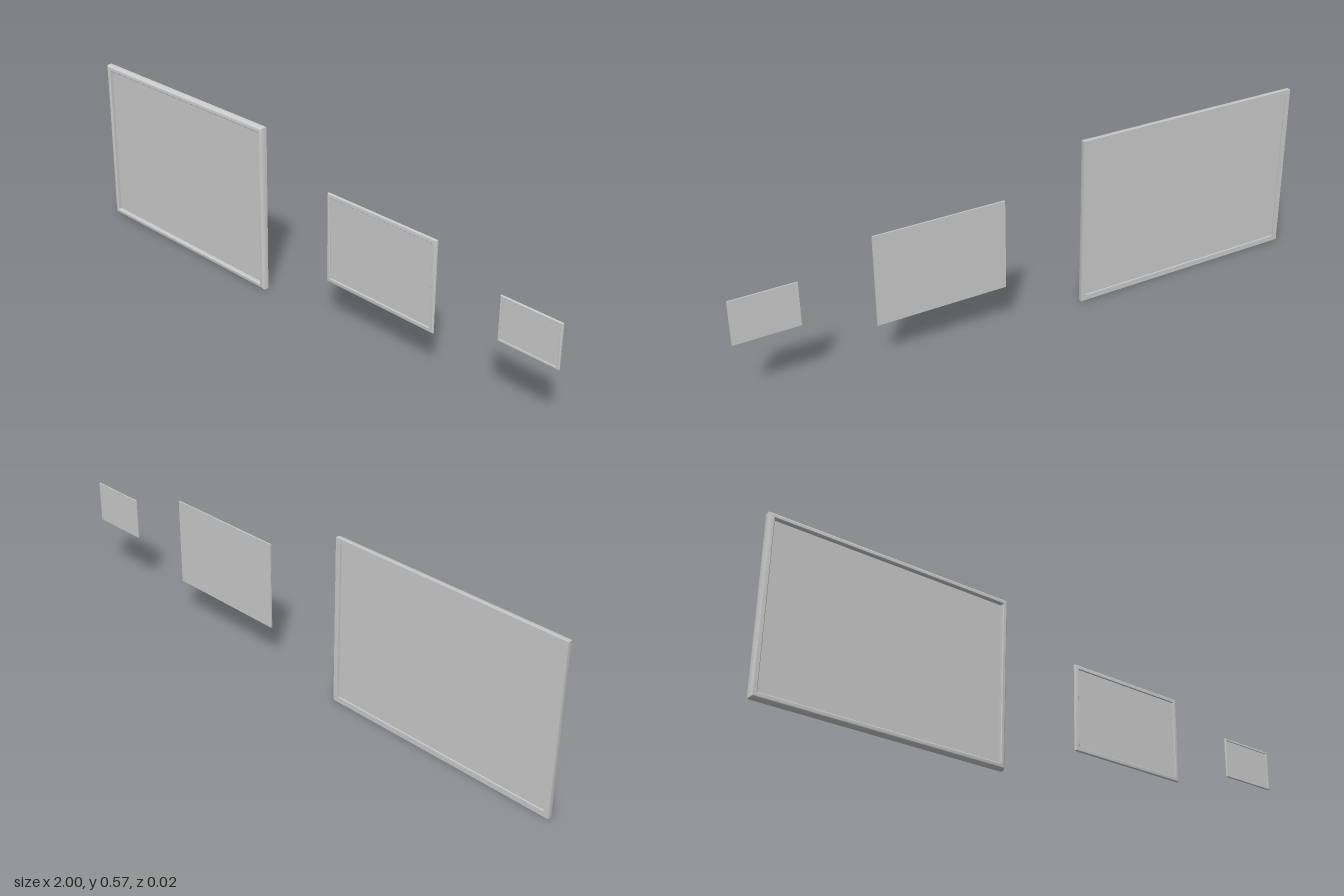
import * as THREE from 'three';
import { toCreasedNormals } from 'three/addons/utils/BufferGeometryUtils.js';

const BACK = -0.0115;
const material = new THREE.MeshStandardMaterial({ color: 0xcccccc });

// Rail cross-section as [inset, z]: square back, rounded outer front edge, small inner bevel
function railProfile(width, front, round) {
  const points = [[0, BACK]];
  const steps = 6;
  for (let i = 0; i <= steps; i++) {
    const a = (i / steps) * Math.PI / 2;
    points.push([round * (1 - Math.cos(a)), front - round * (1 - Math.sin(a))]);
  }
  const bevel = round * 0.25;
  points.push([width - bevel, front], [width, front - bevel], [width, BACK]);
  return points;
}

// Sweep the cross-section around a rectangle with mitred corners
function frameGeometry(w, h, profile) {
  const corners = [[-1, -1], [1, -1], [1, 1], [-1, 1]];
  const n = profile.length;
  const positions = [];
  const index = [];
  for (const [sx, sy] of corners) {
    for (const [d, z] of profile) positions.push(sx * (w / 2 - d), sy * (h / 2 - d), z);
  }
  for (let k = 0; k < 4; k++) {
    for (let j = 0; j < n; j++) {
      const k2 = (k + 1) % 4, j2 = (j + 1) % n;
      const a = k * n + j, b = k2 * n + j, c = k2 * n + j2, d = k * n + j2;
      index.push(a, b, c, a, c, d);
    }
  }
  const geometry = new THREE.BufferGeometry();
  geometry.setAttribute('position', new THREE.Float32BufferAttribute(positions, 3));
  geometry.setIndex(index);
  return toCreasedNormals(geometry, 0.6);
}

// One framed picture: mitred frame plus the panel filling its opening
function framedPicture(name, { x0, x1, y0, y1, front, rail, round, panelBack, panelFront }) {
  const w = x1 - x0, h = y1 - y0;
  const group = new THREE.Group();
  group.name = name;
  group.position.set((x0 + x1) / 2, (y0 + y1) / 2, 0);

  const frame = new THREE.Mesh(frameGeometry(w, h, railProfile(rail, front, round)), material);
  frame.name = 'frame';

  const depth = panelFront - panelBack;
  const panel = new THREE.Mesh(new THREE.BoxGeometry(w - 2 * rail, h - 2 * rail, depth), material);
  panel.name = 'picturePanel';
  panel.position.z = panelBack + depth / 2;

  group.add(frame, panel);
  return group;
}

export function createModel() {
  const model = new THREE.Group();
  model.name = 'pictureFrames';
  model.add(
    // Large frame, panel recessed on both sides
    framedPicture('largePicture', {
      x0: -1, x1: -0.172, y0: 0, y1: 0.572, front: 0.0115,
      rail: 0.018, round: 0.01, panelBack: -0.006, panelFront: -0.002,
    }),
    // Medium and small frames, flush at the back
    framedPicture('mediumPicture', {
      x0: 0.112, x1: 0.555, y0: 0.142, y1: 0.443, front: -0.0035,
      rail: 0.014, round: 0.004, panelBack: BACK, panelFront: -0.0085,
    }),
    framedPicture('smallPicture', {
      x0: 0.79, x1: 1, y0: 0.221, y1: 0.364, front: -0.0055,
      rail: 0.007, round: 0.002, panelBack: BACK, panelFront: -0.009,
    }),
  );
  return model;
}
